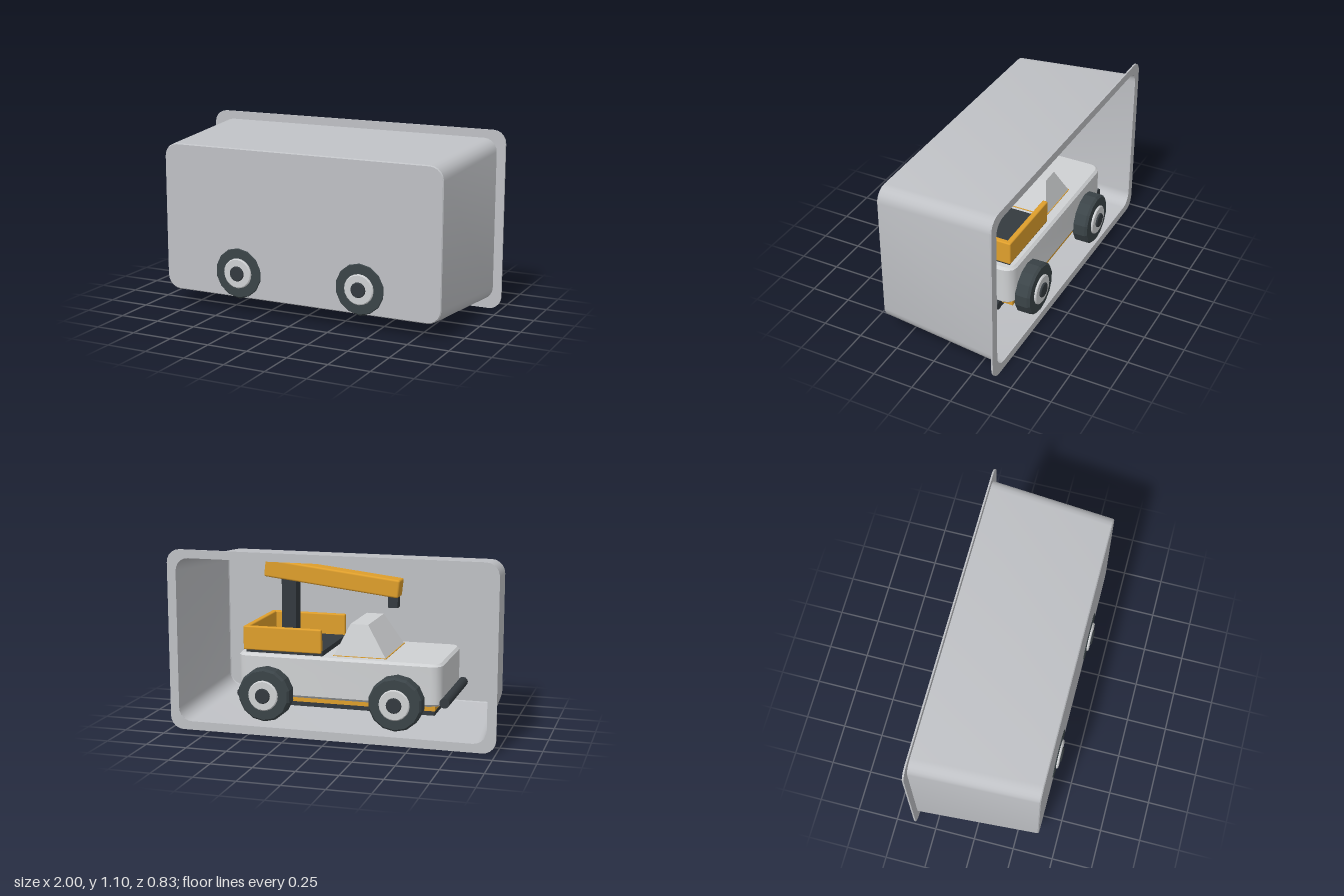
import * as THREE from 'three';
import { toCreasedNormals } from 'three/addons/utils/BufferGeometryUtils.js';
import { RoundedBoxGeometry } from 'three/addons/geometries/RoundedBoxGeometry.js';

const mat = (name, color, side = THREE.FrontSide) => {
  const m = new THREE.MeshStandardMaterial({ color, side });
  m.name = name;
  return m;
};

// Rounded rectangle outline, counter-clockwise
function roundedRect(w, h, cy, r, steps = 5) {
  const pts = [];
  const corners = [[1, 1], [-1, 1], [-1, -1], [1, -1]];
  corners.forEach(([sx, sy], q) => {
    for (let i = 0; i <= steps; i++) {
      const a = (q + i / steps) * Math.PI / 2;
      pts.push(new THREE.Vector2(sx * (w / 2 - r) + r * Math.cos(a), cy + sy * (h / 2 - r) + r * Math.sin(a)));
    }
  });
  return pts;
}

// Skin between outlines, each at its own z, running from back to front
function loft(rings) {
  const pos = [];
  const n = rings[0].pts.length;
  for (let k = 0; k < rings.length - 1; k++) {
    const A = rings[k], B = rings[k + 1];
    for (let i = 0; i < n; i++) {
      const j = (i + 1) % n;
      const a = [A.pts[i].x, A.pts[i].y, A.z], b = [A.pts[j].x, A.pts[j].y, A.z];
      const c = [B.pts[j].x, B.pts[j].y, B.z], d = [B.pts[i].x, B.pts[i].y, B.z];
      pos.push(...a, ...b, ...c, ...a, ...c, ...d);
    }
  }
  const g = new THREE.BufferGeometry();
  g.setAttribute('position', new THREE.Float32BufferAttribute(pos, 3));
  return toCreasedNormals(g, 0.6);
}

export function createModel() {
  const root = new THREE.Group();
  root.name = 'truckInTray';
  const trayGrey = mat('trayGrey', 0xbfc1c5, THREE.DoubleSide);
  const bodyGrey = mat('bodyGrey', 0xcfd1d3);
  const yellow = mat('yellow', 0xdf9f2c);
  const dark = mat('darkGrey', 0x343a3f);
  const rubber = mat('tireGrey', 0x3b4448);

  const add = (parent, name, geo, material, x = 0, y = 0, z = 0) => {
    const m = new THREE.Mesh(geo, material);
    m.name = name;
    m.position.set(x, y, z);
    parent.add(m);
    return m;
  };
  const box = (parent, name, material, x0, x1, y0, y1, z0, z1, r = 0) => add(parent, name,
    r ? new RoundedBoxGeometry(x1 - x0, y1 - y0, z1 - z0, 2, r) : new THREE.BoxGeometry(x1 - x0, y1 - y0, z1 - z0),
    material, (x0 + x1) / 2, (y0 + y1) / 2, (z0 + z1) / 2);

  // Tray: tapered shell open at the back, with a flat flange
  const tray = new THREE.Group();
  tray.name = 'tray';
  root.add(tray);
  const cy = 0.553;
  const mouth = roundedRect(1.89, 1.0, cy, 0.08);
  const panel = roundedRect(1.8, 0.9, cy, 0.08);
  add(tray, 'trayWalls', loft([
    { z: -0.378, pts: mouth },
    { z: 0.379, pts: roundedRect(1.81, 0.912, cy, 0.085) },
    { z: 0.385, pts: panel },
  ]), trayGrey);
  add(tray, 'trayPanel', new THREE.ShapeGeometry(new THREE.Shape(panel)), trayGrey, 0, 0, 0.385);
  const rim = new THREE.Shape(roundedRect(2, 1.104, 0.552, 0.08));
  rim.holes.push(new THREE.Path(mouth.slice().reverse()));
  add(tray, 'trayFlange', new THREE.ExtrudeGeometry(rim, { depth: 0.01, bevelEnabled: false }), trayGrey, 0, 0, -0.385);

  // Truck, facing -x
  const truck = new THREE.Group();
  truck.name = 'truck';
  root.add(truck);

  // Body slab with rounded plan corners
  const bodyOutline = new THREE.Shape(roundedRect(1.225, 0.57, 0, 0.05, 3));
  const bodyGeo = new THREE.ExtrudeGeometry(bodyOutline, {
    depth: 0.225, bevelEnabled: true, bevelSize: 0.015, bevelThickness: 0.015, bevelSegments: 1,
  });
  bodyGeo.rotateX(-Math.PI / 2);
  add(truck, 'body', toCreasedNormals(bodyGeo, 0.6), bodyGrey, -0.03, 0.24, 0);
  box(truck, 'lowerTrim', yellow, -0.62, 0.56, 0.2, 0.228, -0.285, 0.285);
  box(truck, 'chassis', dark, -0.6, 0.54, 0.15, 0.2, -0.2, 0.2);

  // Cab: box narrowed towards the roof
  const cabGeo = new THREE.BoxGeometry(0.32, 0.19, 0.46);
  const p = cabGeo.attributes.position;
  for (let i = 0; i < p.count; i++) {
    if (p.getY(i) > 0) p.setXYZ(i, p.getX(i) * 0.34 + 0.015, p.getY(i), p.getZ(i) * 0.8);
  }
  cabGeo.computeVertexNormals();
  add(truck, 'cab', cabGeo, bodyGrey, -0.15, 0.575, 0);
  box(truck, 'cabTrim', yellow, -0.313, 0.013, 0.475, 0.484, -0.233, 0.233);

  // Cargo bed with three side boards
  box(truck, 'bedFloor', dark, 0.07, 0.55, 0.475, 0.51, -0.26, 0.26);
  for (const s of [-1, 1]) {
    const z = s * 0.255;
    box(truck, s > 0 ? 'frontBoard' : 'backBoard', yellow, 0.076, 0.565, 0.495, 0.64, z - 0.017, z + 0.017, 0.008);
  }
  box(truck, 'tailBoard', yellow, 0.531, 0.565, 0.495, 0.64, -0.272, 0.272, 0.008);

  // Crane: mast, tilted boom and hook block
  box(truck, 'mast', dark, 0.305, 0.395, 0.5, 0.92, -0.045, 0.045);
  const boom = add(truck, 'boom', new RoundedBoxGeometry(0.85, 0.11, 0.11, 2, 0.012), yellow, 0.08, 0.915, 0);
  boom.rotation.z = 0.115;
  box(truck, 'hookBlock', dark, -0.33, -0.27, 0.75, 0.84, -0.03, 0.03);

  // Bumpers
  const bumper = (name, x, y, length) => {
    const g = new THREE.CylinderGeometry(0.03, 0.03, length, 12);
    g.rotateX(Math.PI / 2);
    add(truck, name, g, dark, x, y, 0);
  };
  bumper('noseBumper', -0.675, 0.25, 0.56);
  bumper('tailBumper', 0.6, 0.21, 0.44);

  // Wheels: bevelled low-poly tire, hub and cap; the outside points to +z
  const lathe = (pts, sides) => {
    const g = new THREE.LatheGeometry(pts.map(([r, y]) => new THREE.Vector2(r, y)), sides);
    g.rotateX(Math.PI / 2);
    return toCreasedNormals(g, 0.3);
  };
  const tireGeo = lathe([[0, 0.28], [0.135, 0.28], [0.162, 0.3], [0.162, 0.375], [0.15, 0.39], [0, 0.39]], 14);
  const hubGeo = lathe([[0.092, 0.38], [0.092, 0.398], [0.086, 0.403], [0, 0.403]], 20);
  const capGeo = lathe([[0.046, 0.4], [0.046, 0.41], [0.042, 0.414], [0, 0.414]], 16);
  for (const x of [-0.403, 0.4]) {
    const axle = new THREE.CylinderGeometry(0.03, 0.03, 0.6, 10);
    axle.rotateX(Math.PI / 2);
    add(truck, 'axle', axle, dark, x, 0.25, 0);
    for (const turn of [0, Math.PI]) {
      const wheel = new THREE.Group();
      wheel.name = 'wheel';
      wheel.position.set(x, 0.248, 0);
      wheel.rotation.y = turn;
      add(wheel, 'tire', tireGeo, rubber);
      add(wheel, 'hub', hubGeo, bodyGrey);
      add(wheel, 'hubCap', capGeo, dark);
      truck.add(wheel);
    }
  }
  return root;
}
